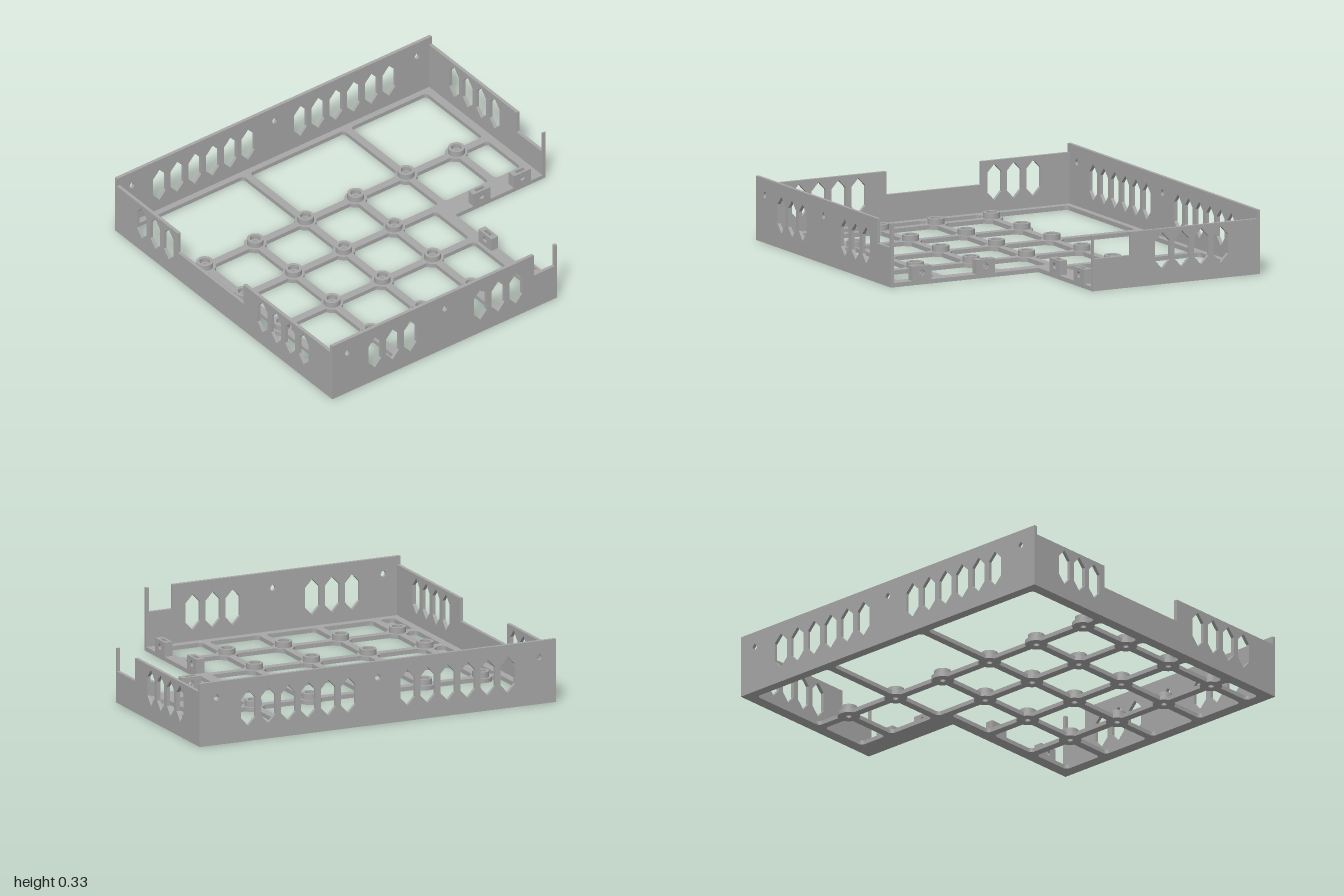
import * as THREE from 'three';

const T = 0.018;      // wall thickness
const FLOOR = 0.022;  // floor thickness

const poly = (pts, Type = THREE.Shape) => new Type(pts.map(([x, y]) => new THREE.Vector2(x, y)));
const extrude = (shape, depth) =>
  new THREE.ExtrudeGeometry(shape, { depth, bevelEnabled: false, curveSegments: 6 });

// tall hexagonal vent
function vent(u, y = 0.173) {
  const w = 0.041, h = 0.094, s = 0.05;
  return poly([[u, y - h], [u + w, y - s], [u + w, y + s], [u, y + h], [u - w, y + s], [u - w, y - s]], THREE.Path);
}

// screw hole with a pointed roof
function screwHole(u, y, r = 0.015) {
  const p = new THREE.Path();
  p.moveTo(u, y + r * 1.414);
  p.lineTo(u - r * 0.707, y + r * 0.707);
  p.absarc(u, y, r, Math.PI * 0.75, Math.PI * 2.25, false);
  p.closePath();
  return p;
}

function roundedCell(x0, x1, z0, z1, r = 0.022) {
  const p = new THREE.Path(), a = -z1, b = -z0, q = Math.PI / 2;
  p.moveTo(x0 + r, a);
  p.absarc(x1 - r, a + r, r, -q, 0, false);
  p.absarc(x1 - r, b - r, r, 0, q, false);
  p.absarc(x0 + r, b - r, r, q, 2 * q, false);
  p.absarc(x0 + r, a + r, r, 2 * q, 3 * q, false);
  return p;
}

export function createModel() {
  const model = new THREE.Group();
  model.name = 'tray';
  const grey = new THREE.MeshStandardMaterial({ color: 0xa6a6a6 });
  grey.name = 'grey plastic';
  const add = (name, geometry, parent = model) => {
    const mesh = new THREE.Mesh(geometry, grey);
    mesh.name = name;
    parent.add(mesh);
    return mesh;
  };

  // screw boss positions
  const xs = [-0.842, -0.522, -0.203, 0.116, 0.436, 0.755];
  const zs = [-0.363, -0.044, 0.276, 0.596];
  const bosses = [];
  zs.forEach((z, j) => xs.forEach((x, i) => { if (i < 4 || j === 0) bosses.push([x, z]); }));

  // L-shaped floor with a grid of rounded openings
  const floor = poly([[-1, -0.905], [0.428, -0.905], [0.428, -0.058], [1, -0.058], [1, 0.905], [-1, 0.905]]);
  const b = 0.021;
  const cell = (x0, x1, z0, z1) => floor.holes.push(roundedCell(x0, x1, z0, z1));
  cell(-0.94, xs[2] - b, -0.853, zs[0] - b);
  cell(xs[2] + b, xs[4] - b, -0.853, zs[0] - b);
  cell(xs[4] + b, 0.938, -0.853, zs[0] - b);
  zs.forEach((z, j) => {
    const z1 = j < 3 ? zs[j + 1] - b : 0.842;
    const edges = j === 0 ? [...xs, 0.938 + b] : [...xs.slice(0, 4), 0.365 + b];
    edges.forEach((x, i) => cell(i ? edges[i - 1] + b : -0.94, x - b, z + b, z1));
  });
  bosses.forEach(([x, z]) => {
    const hole = new THREE.Path();
    hole.absarc(x, -z, 0.015, 0, Math.PI * 2, false);
    floor.holes.push(hole);
  });
  add('floor', extrude(floor, FLOOR).rotateX(-Math.PI / 2));

  // bosses: wide foot, raised collar, counterbore and through hole
  const profile = [[0.015, 0], [0.057, 0], [0.057, FLOOR], [0.043, FLOOR], [0.043, 0.052],
    [0.027, 0.052], [0.027, 0.028], [0.015, 0.028], [0.015, 0]];
  // each straight run gets its own lathe so the rims stay sharp
  for (const [x, z] of bosses) {
    const boss = new THREE.Group();
    boss.name = 'screwBoss';
    boss.position.set(x, 0, z);
    for (let i = 0; i + 1 < profile.length; i++) {
      const run = [profile[i], profile[i + 1]].map(([r, y]) => new THREE.Vector2(r, y));
      add('bossSurface', new THREE.LatheGeometry(run, 24), boss);
    }
    model.add(boss);
  }

  // six evenly spaced vents per group on the back wall
  const step = 0.1125;
  const row = (start, n, d = step) => Array.from({ length: n }, (_, i) => vent(start + i * d));
  const back = poly([[-1, 0], [1, 0], [1, 0.33], [-1, 0.33]]);
  back.holes.push(...row(-0.73, 6), ...row(0.165, 6), ...[-0.905, 0, 0.905].map((x) => screwHole(x, 0.245)));
  add('backWall', extrude(back, T)).position.z = -0.905;

  // front wall with a notch and a thin end post
  const front = poly([[-1, 0], [0.428, 0], [0.428, 0.33], [0.412, 0.33], [0.412, 0.203],
    [0.28, 0.203], [0.28, 0.33], [-1, 0.33]]);
  front.holes.push(...row(-0.73, 3), ...row(-0.06, 3), ...[-0.905, -0.285].map((x) => screwHole(x, 0.245)));
  add('frontWall', extrude(front, T)).position.z = 0.905 - T;

  // side walls, drawn with u = -z
  const left = poly([[-0.9, 0], [0.9, 0], [0.9, 0.285], [0.38, 0.285], [0.38, 0.165],
    [-0.165, 0.165], [-0.165, 0.285], [-0.9, 0.285]]);
  left.holes.push(...row(-0.667, 4, 0.114), ...row(0.456, 3, 0.112));
  add('rightWall', extrude(left, T).rotateY(Math.PI / 2)).position.x = -1;

  const right = poly([[-0.058, 0], [0.9, 0], [0.9, 0.285], [0.16, 0.285], [0.16, 0.165],
    [-0.05, 0.165], [-0.05, 0.285], [-0.058, 0.285]]);
  right.holes.push(...row(0.343, 4, 0.112));
  add('leftWall', extrude(right, T).rotateY(Math.PI / 2)).position.x = 1 - T;

  // mounting blocks: two drilled plates around an open-topped nut slot
  function mountBlock(x, z, turn) {
    const block = new THREE.Group();
    block.name = 'mountBlock';
    const w = 0.054, h = 0.096, s = 0.027, y0 = 0.02;
    const plate = poly([[-w, y0], [w, y0], [w, h], [-w, h]]);
    plate.holes.push(screwHole(0, 0.06));
    const slot = poly([[-w, y0], [w, y0], [w, h], [s, h], [s, 0.032], [-s, 0.032], [-s, h], [-w, h]]);
    add('blockBack', extrude(plate, 0.012), block);
    add('blockSlot', extrude(slot, 0.02), block).position.z = 0.012;
    add('blockFront', extrude(plate, 0.012), block).position.z = 0.032;
    block.position.set(x, 0, z);
    block.rotation.y = turn;
    model.add(block);
  }
  [0.597, 0.854].forEach((x) => mountBlock(x, 0.014, 0));
  [0.36, 0.727].forEach((z) => mountBlock(0.384, z, Math.PI / 2));

  return model;
}
